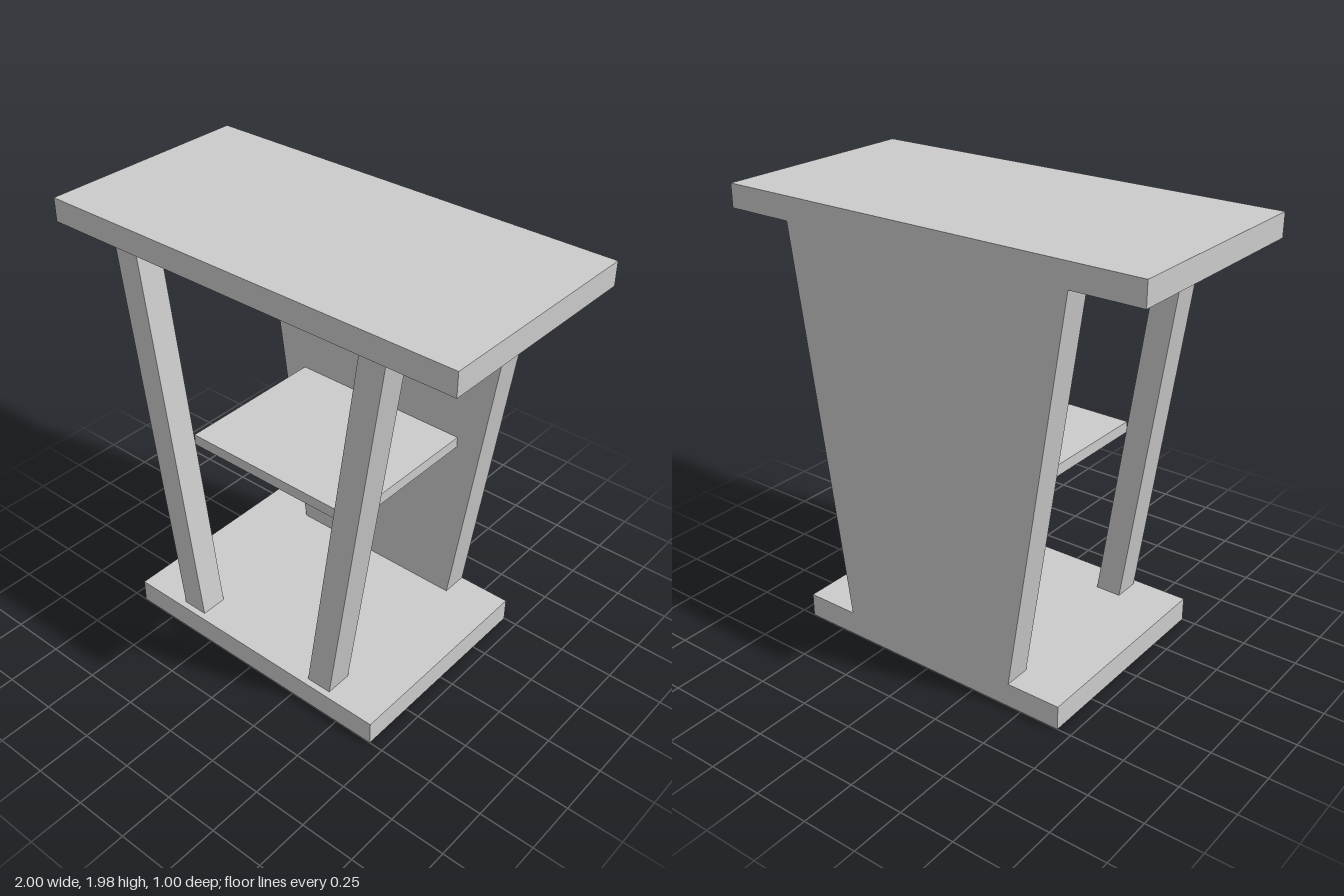
import * as THREE from 'three';

const material = new THREE.MeshStandardMaterial({ color: 0xcccccc });
const openMaterial = new THREE.MeshStandardMaterial({ color: 0xcccccc, side: THREE.DoubleSide });

const BASE_TOP = 0.11, DESK_BOTTOM = 1.875;

export function createModel() {
  const model = new THREE.Group();
  model.name = 'lectern';

  const add = (name, geometry, mat = material) => {
    const mesh = new THREE.Mesh(geometry, mat);
    mesh.name = name;
    model.add(mesh);
    return mesh;
  };
  // Box given by its extents
  const box = (w, y0, y1, z0, z1) =>
    new THREE.BoxGeometry(w, y1 - y0, z1 - z0).translate(0, (y0 + y1) / 2, (z0 + z1) / 2);
  // Upright slab between base and desk, from front-face corners
  const slab = (points, z0, z1) =>
    new THREE.ExtrudeGeometry(new THREE.Shape(points.map(([x, y]) => new THREE.Vector2(x, y))),
      { depth: z1 - z0, bevelEnabled: false }).translate(0, 0, z0);

  // Base: shell that is open underneath (bottom face dropped)
  const base = box(1.37, 0, BASE_TOP, -0.5, 0.5);
  const index = Array.from(base.index.array);
  index.splice(18, 6);
  base.setIndex(index);
  base.clearGroups();
  add('base', base, openMaterial);

  // Desk top
  add('deskTop', box(2, DESK_BOTTOM, 1.98, -0.5, 0.5));

  // Tapered back panel
  add('backPanel', slab([
    [-0.435, BASE_TOP], [0.435, BASE_TOP], [0.685, DESK_BOTTOM], [-0.685, DESK_BOTTOM],
  ], -0.5, -0.375));

  // Slanted front legs
  for (const [name, s] of [['leftLeg', 1], ['rightLeg', -1]]) {
    add(name, slab([
      [s * 0.315, BASE_TOP], [s * 0.435, BASE_TOP], [s * 0.685, DESK_BOTTOM], [s * 0.565, DESK_BOTTOM],
    ], 0.345, 0.47));
  }

  // Shelf between the legs and the back panel
  add('shelf', box(0.87, 0.94, 0.99, -0.375, 0.345));

  return model;
}
